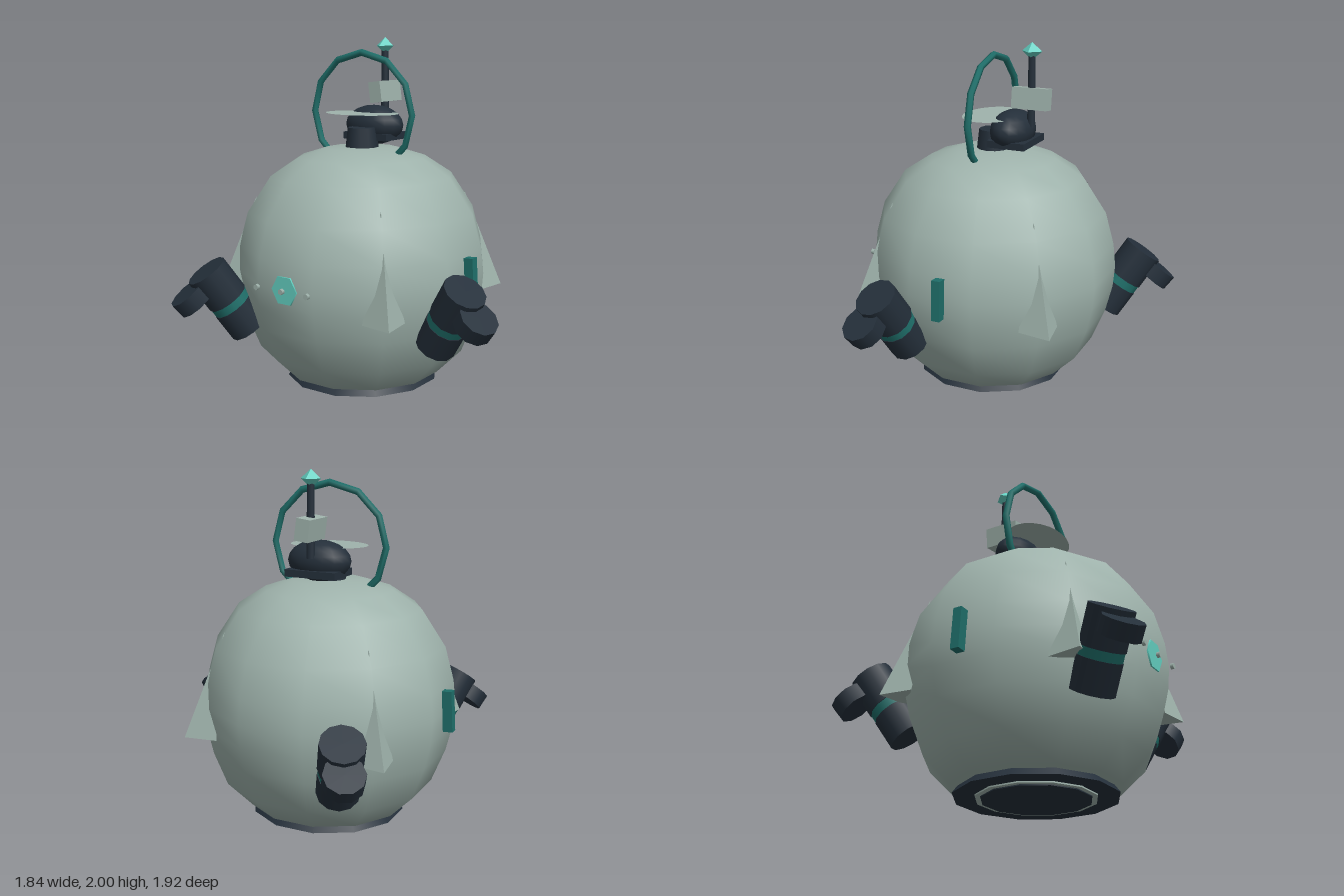
import * as THREE from 'three';
import { ConvexGeometry } from 'three/addons/geometries/ConvexGeometry.js';

const shell = new THREE.MeshStandardMaterial({ color: 0x9fb3ac, side: THREE.DoubleSide });
shell.name = 'greyGreenShell';
const dark = new THREE.MeshStandardMaterial({ color: 0x242f3a });
dark.name = 'darkSlate';
const teal = new THREE.MeshStandardMaterial({ color: 0x1f6f6a });
teal.name = 'teal';
const aqua = new THREE.MeshStandardMaterial({ color: 0x64d0c2 });
aqua.name = 'aqua';

function add(parent, name, geometry, material, x = 0, y = 0, z = 0) {
  const mesh = new THREE.Mesh(geometry, material);
  mesh.name = name;
  mesh.position.set(x, y, z);
  parent.add(mesh);
  return mesh;
}

// Twelve-sided drum with its flats facing the axes
const drum = (top, bottom, height) =>
  new THREE.CylinderGeometry(top, bottom, height, 12, 1, false, Math.PI / 12);

// Group whose local +x points outward at an angle measured from +x towards +z
function radial(parent, name, degrees) {
  const group = new THREE.Group();
  group.name = name;
  group.rotation.y = -THREE.MathUtils.degToRad(degrees);
  parent.add(group);
  return group;
}

// Slanted pod with a band and a short round foot on its outer side
function addArm(parent, degrees) {
  const arm = radial(parent, 'arm', degrees);
  const pod = new THREE.Group();
  pod.name = 'armPod';
  pod.position.set(0.805, 0.535, 0);
  pod.rotation.z = -0.6;
  arm.add(pod);
  add(pod, 'podLower', new THREE.CylinderGeometry(0.118, 0.118, 0.17, 12), dark, 0, -0.127, 0);
  add(pod, 'podBand', new THREE.CylinderGeometry(0.115, 0.115, 0.05, 12), teal, 0, -0.017, 0);
  add(pod, 'podUpper', new THREE.CylinderGeometry(0.12, 0.12, 0.205, 12), dark, 0, 0.11, 0);
  const foot = add(arm, 'armFoot', new THREE.CylinderGeometry(0.11, 0.11, 0.09, 10), dark, 1.01, 0.56, 0);
  foot.rotation.z = -0.68;
}

export function createModel() {
  const model = new THREE.Group();
  model.name = 'model';
  const root = new THREE.Group();
  root.name = 'pod';
  root.position.set(-0.15, 0, 0.04);
  model.add(root);

  // Round hull; radii are measured to the flats
  const profile = [
    [0, 0.06], [0.45, 0.06], [0.59, 0.205], [0.665, 0.4], [0.7, 0.55], [0.71, 0.68],
    [0.695, 0.82], [0.645, 1.01], [0.515, 1.215], [0.36, 1.32], [0.205, 1.37], [0, 1.38],
  ].map(([r, y]) => new THREE.Vector2(r / Math.cos(Math.PI / 12), y));
  add(root, 'hull', new THREE.LatheGeometry(profile, 12, Math.PI / 12), shell);

  // Base plate with an inset ring underneath
  add(root, 'base', drum(0.42, 0.45, 0.04), dark, 0, 0.034, 0);
  add(root, 'baseRing', drum(0.33, 0.33, 0.01), shell, 0, 0.011, 0);
  add(root, 'baseHatch', drum(0.3, 0.3, 0.02), dark, 0, 0.01, 0);

  // Front light and the three studs
  const light = add(root, 'frontLight', new THREE.CylinderGeometry(0.086, 0.086, 0.009, 6), aqua, 0, 0.67, 0.712);
  light.rotation.set(Math.PI / 2, Math.PI / 6, 0, 'XYZ');
  for (const x of [-0.174, 0, 0.174]) {
    const stud = add(root, 'stud', new THREE.CylinderGeometry(0.017, 0.017, 0.018, 6), shell, x, 0.67, 0.738);
    stud.rotation.x = Math.PI / 2;
  }

  // Side grips
  for (const s of [-1, 1]) {
    const grip = add(root, 'sideGrip', new THREE.BoxGeometry(0.055, 0.23, 0.05), teal, s * 0.735, 0.695, -0.005);
    grip.rotation.z = s * 0.06;
  }

  // Four corner fins, tapering up into the hull
  for (let i = 0; i < 4; i++) {
    const fin = radial(root, 'cornerFin', 45 + i * 90);
    add(fin, 'finBlade', new ConvexGeometry([
      new THREE.Vector3(0.855, 0.515, 0), new THREE.Vector3(0.7, 0.515, 0.115),
      new THREE.Vector3(0.7, 0.515, -0.115), new THREE.Vector3(0.615, 1.105, 0),
    ]), shell);
  }

  for (const degrees of [19, 126, 240]) addArm(root, degrees);

  // Hoop over the top, and the flat dish at its centre
  add(root, 'hoop', new THREE.TorusGeometry(0.345, 0.02, 6, 12), teal, 0, 1.57, 0);
  const dish = add(root, 'dish', new THREE.CircleGeometry(1, 24), shell, 0, 1.57, 0);
  dish.rotation.x = -Math.PI / 2;
  dish.scale.set(0.23, 0.17, 1);

  // Top turret
  add(root, 'turretNeck', new THREE.CylinderGeometry(0.083, 0.097, 0.12, 12), dark, 0, 1.428, 0);
  add(root, 'turretPlate', new THREE.BoxGeometry(0.305, 0.04, 0.23), dark, 0, 1.432, -0.14);
  const dome = add(root, 'turretDome', new THREE.SphereGeometry(1, 16, 10), dark, 0, 1.495, -0.125);
  dome.scale.set(0.187, 0.115, 0.123);

  // Antenna with a sensor box and crystal tip
  add(root, 'antennaRod', new THREE.CylinderGeometry(0.021, 0.025, 0.41, 8), dark, 0, 1.725, -0.235);
  const box = add(root, 'sensorBox', new THREE.BoxGeometry(0.082, 0.122, 0.212), shell, 0, 1.683, -0.235);
  box.rotation.z = 0.13;
  const tip = add(root, 'antennaTip', new THREE.OctahedronGeometry(0.06), aqua, 0, 1.95, -0.235);
  tip.scale.y = 0.84;

  return model;
}
